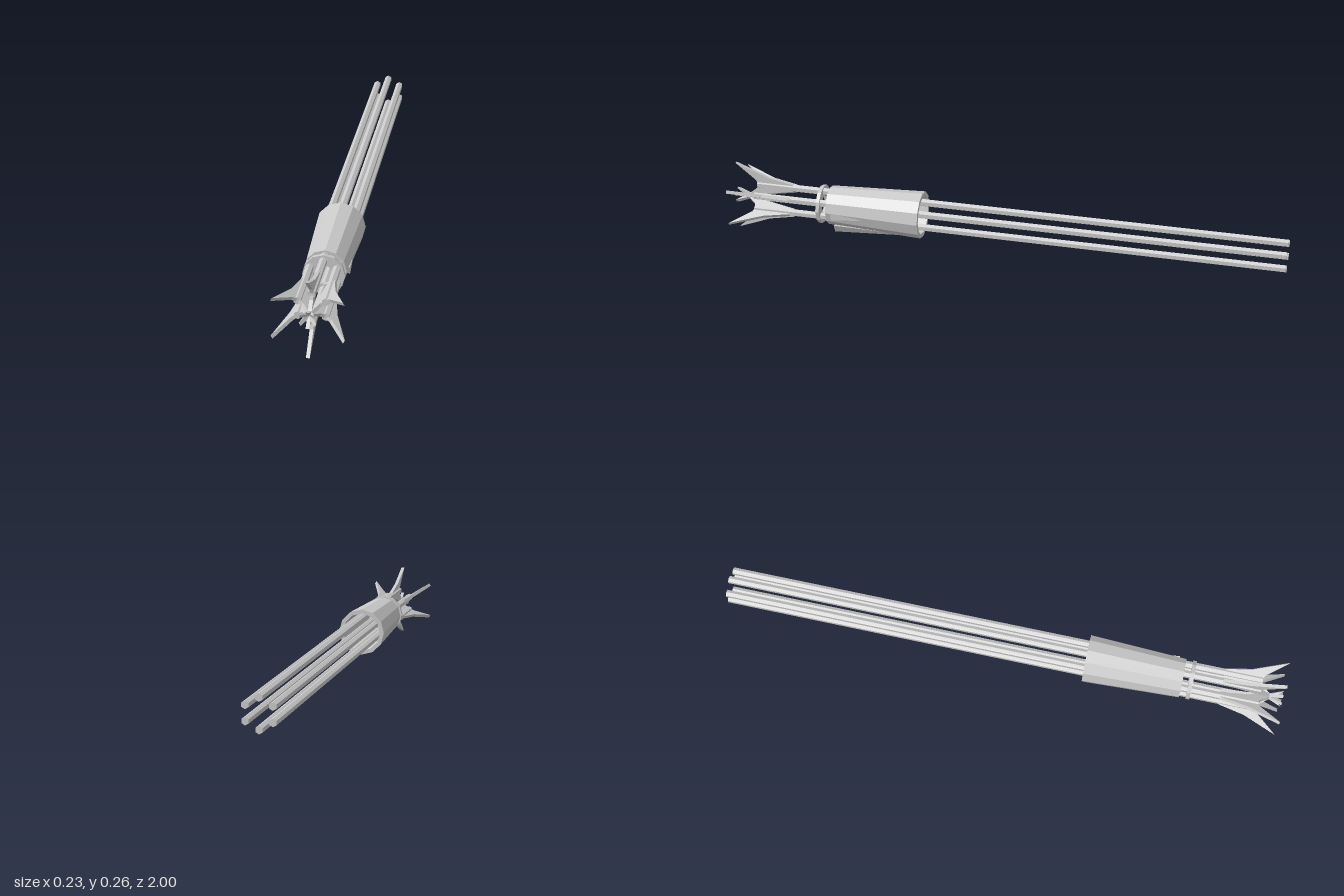
import * as THREE from 'three';
import { ConvexGeometry } from 'three/addons/geometries/ConvexGeometry.js';

const AXIS_Y = 0.13;
const ROD_RING = 0.051;

export function createModel() {
  const model = new THREE.Group();
  model.name = 'rodBundle';
  const material = new THREE.MeshStandardMaterial({ color: 0xcccccc, flatShading: true });

  // Everything is arranged around the long z axis
  const core = new THREE.Group();
  core.name = 'core';
  core.position.y = AXIS_Y;
  model.add(core);

  const add = (parent, name, geometry) => {
    const mesh = new THREE.Mesh(geometry, material);
    mesh.name = name;
    parent.add(mesh);
    return mesh;
  };

  // Closed hollow ring or tube along z, with twelve sides
  const hollow = (zBack, zFront, outBack, outFront, inBack, inFront) => {
    const profile = [
      [outBack, zBack], [outFront, zFront], [inFront, zFront], [inBack, zBack], [outBack, zBack],
    ].map(([r, z]) => new THREE.Vector2(r, z));
    return new THREE.LatheGeometry(profile, 12).rotateX(Math.PI / 2);
  };

  // Hexagonal rod from the back to just behind the prong tips
  const rodGeometry = new THREE.CylinderGeometry(0.0135, 0.0135, 1.92, 6)
    .rotateX(Math.PI / 2)
    .translate(0, 0, -0.04);

  // Flat curved prong: z along the rod, height away from the rod axis
  const outline = new THREE.Shape();
  outline.moveTo(0.77, 0.004);
  outline.lineTo(0.92, 0.004);
  outline.lineTo(0.925, 0.018);
  outline.lineTo(1.0, 0.079);
  outline.lineTo(0.88, 0.032);
  outline.lineTo(0.79, 0.014);
  outline.closePath();
  const prongGeometry = new THREE.ExtrudeGeometry(outline, { depth: 0.012, bevelEnabled: false })
    .translate(0, 0, -0.006)
    .rotateY(-Math.PI / 2);

  // Six rods, each with one outward and one inward prong
  for (let i = 0; i < 6; i++) {
    const unit = new THREE.Group();
    unit.name = 'rodUnit' + (i + 1);
    unit.rotation.z = (i * Math.PI) / 3;
    core.add(unit);
    add(unit, 'rod', rodGeometry).position.y = ROD_RING;
    add(unit, 'outerProng', prongGeometry).position.y = ROD_RING;
    const inner = add(unit, 'innerProng', prongGeometry);
    inner.position.y = ROD_RING;
    inner.rotation.z = Math.PI;
  }

  // Tapered grip sleeve and the spacer plate in front of it
  add(core, 'sleeve', hollow(0.3, 0.645, 0.085, 0.07, 0.07, 0.058));
  add(core, 'spacerPlate', hollow(0.669, 0.682, 0.07, 0.07, 0.034, 0.034));

  // Small wedges breaking through the sleeve wall
  const wedge = (name, points) =>
    add(core, name, new ConvexGeometry(points.map((p) => new THREE.Vector3(...p))));
  wedge('lowerWedge', [
    [0.0, -0.08, 0.62], [0.04, -0.086, 0.62], [0.055, -0.055, 0.62],
    [0.0, -0.066, 0.62], [0.038, -0.068, 0.32],
  ]);
  wedge('sideWedge', [
    [0.077, 0.005, 0.62], [0.077, -0.022, 0.62], [0.062, -0.008, 0.63], [0.072, -0.012, 0.5],
  ]);

  return model;
}
